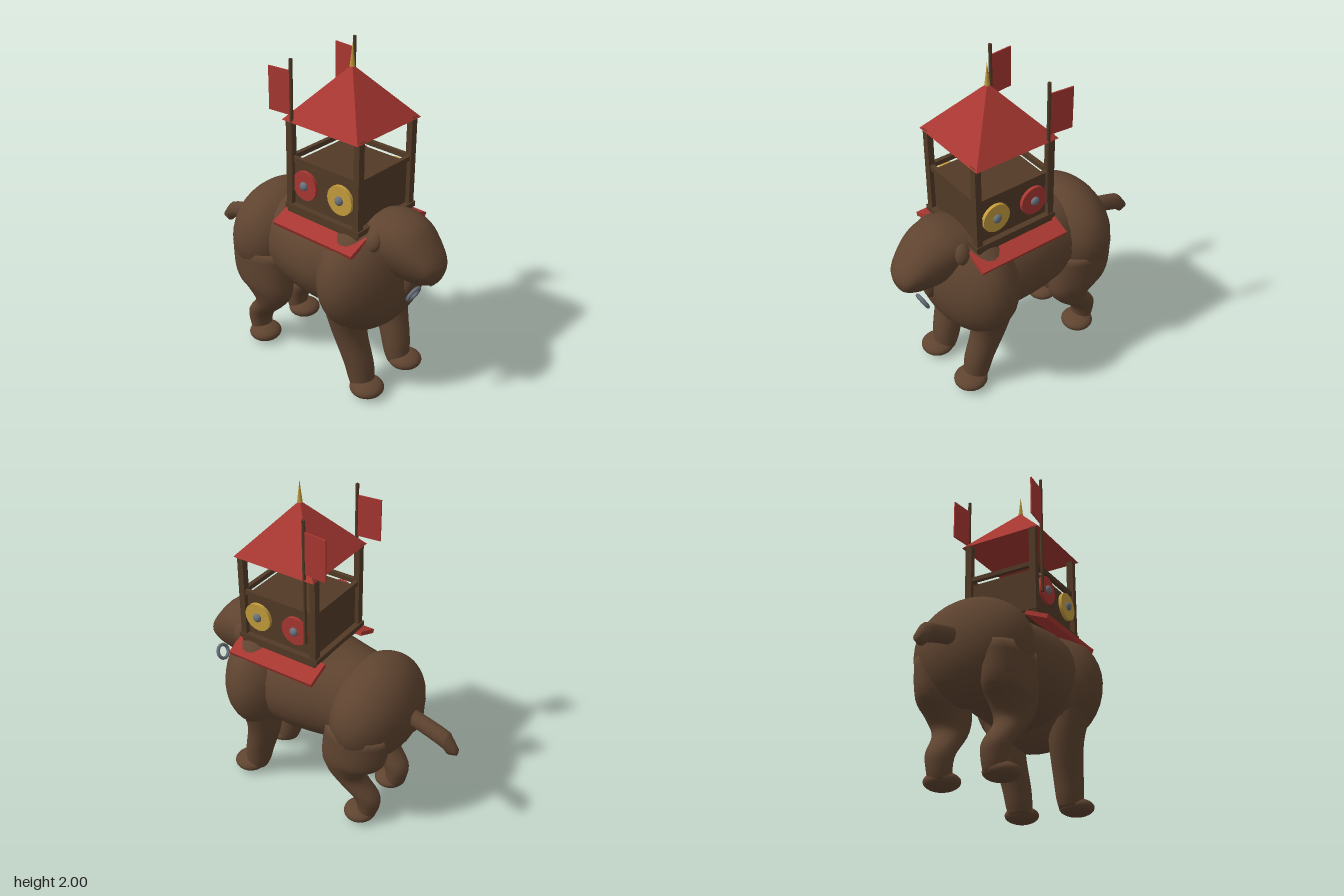
import * as THREE from 'three';

const mat = (name, color) => {
  const m = new THREE.MeshStandardMaterial({ color });
  m.name = name;
  return m;
};

// Smooth closed skin through elliptical sections [x, y, z, ra, rb]; rings lie across the chosen axis.
function loft(rows, axis, { sides = 24, steps = 4, egg = 0 } = {}) {
  const centres = new THREE.CatmullRomCurve3(rows.map(r => new THREE.Vector3(r[0], r[1], r[2])), false, 'catmullrom');
  const radii = new THREE.CatmullRomCurve3(rows.map(r => new THREE.Vector3(r[3], r[4], 0)), false, 'catmullrom');
  const n = (rows.length - 1) * steps, pos = [], idx = [];
  for (let i = 0; i <= n; i++) {
    const c = centres.getPoint(i / n), r = radii.getPoint(i / n);
    for (let j = 0; j < sides; j++) {
      const a = j / sides * Math.PI * 2, s = Math.sin(a);
      const x = c.x + r.x * Math.cos(a) * (1 + egg * s);
      if (axis === 'z') pos.push(x, c.y + r.y * s, c.z);
      else pos.push(x, c.y, c.z - r.y * s);
    }
  }
  for (let i = 0; i < n; i++) for (let j = 0; j < sides; j++) {
    const k = (j + 1) % sides, a = i * sides + j, b = i * sides + k;
    idx.push(a, b, a + sides, b, b + sides, a + sides);
  }
  const first = centres.getPoint(0), last = centres.getPoint(1), f = (n + 1) * sides;
  pos.push(first.x, first.y, first.z, last.x, last.y, last.z);
  for (let j = 0; j < sides; j++) {
    const k = (j + 1) % sides;
    idx.push(f, k, j, f + 1, n * sides + j, n * sides + k);
  }
  const g = new THREE.BufferGeometry();
  g.setAttribute('position', new THREE.Float32BufferAttribute(pos, 3));
  g.setIndex(idx);
  g.computeVertexNormals();
  return g;
}

export function createModel() {
  const model = new THREE.Group();
  const hide = mat('brown hide', 0x5f4430);
  const wood = mat('dark wood', 0x523a26);
  const red = mat('red cloth', 0xa83731);
  red.side = THREE.DoubleSide;
  const gold = mat('gold', 0xc39c3c);
  const steel = mat('steel', 0x69727c);

  const add = (name, geo, material, x = 0, y = 0, z = 0, parent = model) => {
    const m = new THREE.Mesh(geo, material);
    m.name = name;
    m.position.set(x, y, z);
    parent.add(m);
    return m;
  };
  const box = (name, w, h, d, material, x, y, z) => add(name, new THREE.BoxGeometry(w, h, d), material, x, y, z);
  const blob = (name, rx, ry, rz, x, y, z, material = hide) =>
    add(name, new THREE.SphereGeometry(1, 32, 20).scale(rx, ry, rz), material, x, y, z);

  // Body masses
  add('torso', loft([
    [0, 0.75, -0.38, 0.2, 0.2], [0, 0.75, -0.25, 0.26, 0.26], [0, 0.75, -0.1, 0.295, 0.285],
    [0, 0.755, 0.05, 0.325, 0.3], [0, 0.76, 0.2, 0.33, 0.31], [0, 0.77, 0.38, 0.3, 0.3],
  ], 'z'), hide);
  blob('shoulders', 0.41, 0.37, 0.245, 0, 0.74, 0.385);
  blob('hips', 0.355, 0.305, 0.245, 0, 0.735, -0.32);

  // Head, lower lip and tail
  add('head', loft([
    [0, 0.94, 0.36, 0.19, 0.15], [0, 0.96, 0.5, 0.185, 0.175], [0, 0.95, 0.6, 0.175, 0.185],
    [0, 0.93, 0.69, 0.15, 0.17], [0, 0.9, 0.76, 0.12, 0.125], [0, 0.88, 0.81, 0.085, 0.075],
    [0, 0.88, 0.835, 0.03, 0.025],
  ], 'z', { egg: 0.2 }), hide);
  blob('lowerLip', 0.045, 0.1, 0.045, 0, 0.75, 0.62);
  add('tail', loft([
    [0, 0.625, -0.84, 0.018, 0.022], [0, 0.655, -0.79, 0.04, 0.06], [0, 0.685, -0.75, 0.048, 0.055],
    [0, 0.74, -0.57, 0.046, 0.052], [0, 0.76, -0.48, 0.05, 0.055],
  ], 'z', { sides: 12 }), hide);

  for (const s of [-1, 1]) {
    const side = s > 0 ? 'left' : 'right';
    const leg = (name, rows) => add(name, loft(rows.map(r => [r[0] * s, ...r.slice(1)]), 'y', { sides: 20 }), hide);

    // Legs and feet
    leg(side + 'FrontLeg', [
      [0.165, 0.04, 0.455, 0.07, 0.07], [0.165, 0.1, 0.44, 0.078, 0.08], [0.17, 0.2, 0.42, 0.085, 0.09],
      [0.19, 0.4, 0.365, 0.1, 0.105], [0.22, 0.6, 0.36, 0.13, 0.13],
    ]);
    leg(side + 'HindLeg', [
      [0.165, 0.04, -0.36, 0.065, 0.06], [0.165, 0.1, -0.375, 0.07, 0.065], [0.17, 0.19, -0.36, 0.078, 0.082],
      [0.19, 0.32, -0.25, 0.092, 0.1], [0.2, 0.41, -0.25, 0.11, 0.155], [0.205, 0.5, -0.29, 0.13, 0.2],
      [0.2, 0.7, -0.31, 0.14, 0.2],
    ]);
    blob(side + 'FrontFoot', 0.1, 0.05, 0.1, 0.178 * s, 0.05, 0.495);
    blob(side + 'HindFoot', 0.1, 0.05, 0.097, 0.178 * s, 0.05, -0.327);

    // Ears and tusk rings
    blob(side + 'Ear', 0.035, 0.06, 0.05, 0.175 * s, 1.02, 0.51).rotation.z = 0.4 * s;
    add(side + 'TuskRing', new THREE.TorusGeometry(0.043, 0.011, 8, 12), steel, 0.1 * s, 0.752, 0.733).rotation.x = 0.42;

    // Sloping saddle board
    box(side + 'SaddleBoard', 0.15, 0.025, 0.57, red, 0.255 * s, 1.0, 0.2).rotation.z = -0.4 * s;

    // Shields hung on the tower wall
    for (const [z, m, n] of [[0.33, gold, 'Gold'], [0.08, red, 'Red']]) {
      add(side + n + 'Shield', new THREE.CylinderGeometry(0.085, 0.085, 0.02, 20), m, 0.235 * s, 1.225, z)
        .rotation.z = Math.PI / 2;
      blob(side + n + 'ShieldBoss', 0.018, 0.026, 0.026, 0.248 * s, 1.225, z, steel);
    }

    // Banner
    add(side + 'BannerPole', new THREE.CylinderGeometry(0.01, 0.01, 0.75, 8), wood, 0.252 * s, 1.555, 0);
    box(side + 'Banner', 0.008, 0.245, 0.145, red, 0.259 * s, 1.742, -0.074).rotation.y = -0.1 * s;
  }

  // Tower: platform, walls, posts and rails
  const cz = 0.2, h = 0.218, hz = 0.238;
  box('platform', 0.48, 0.025, 0.5, wood, 0, 1.04, cz);
  box('platformTop', 0.49, 0.03, 0.53, wood, 0, 1.065, cz);
  box('towerWalls', 0.42, 0.245, 0.46, wood, 0, 1.2, cz);
  for (const s of [-1, 1]) {
    for (const t of [-1, 1])
      box('towerPost', 0.042, 0.55, 0.036, wood, h * s, 1.315, cz + hz * t);
    box('sideRail', 0.025, 0.028, hz * 2, wood, h * s, 1.352, cz);
    box('crossRail', h * 2, 0.028, 0.025, wood, 0, 1.352, cz + hz * s);
  }

  // Roof and finial
  const roof = new THREE.ConeGeometry(0.262 * Math.SQRT2, 0.3, 4, 1).rotateY(Math.PI / 4).toNonIndexed();
  roof.computeVertexNormals();
  add('roof', roof, red, 0, 1.73, cz);
  add('finial', new THREE.ConeGeometry(0.015, 0.13, 8), gold, 0, 1.935, cz);

  return model;
}
